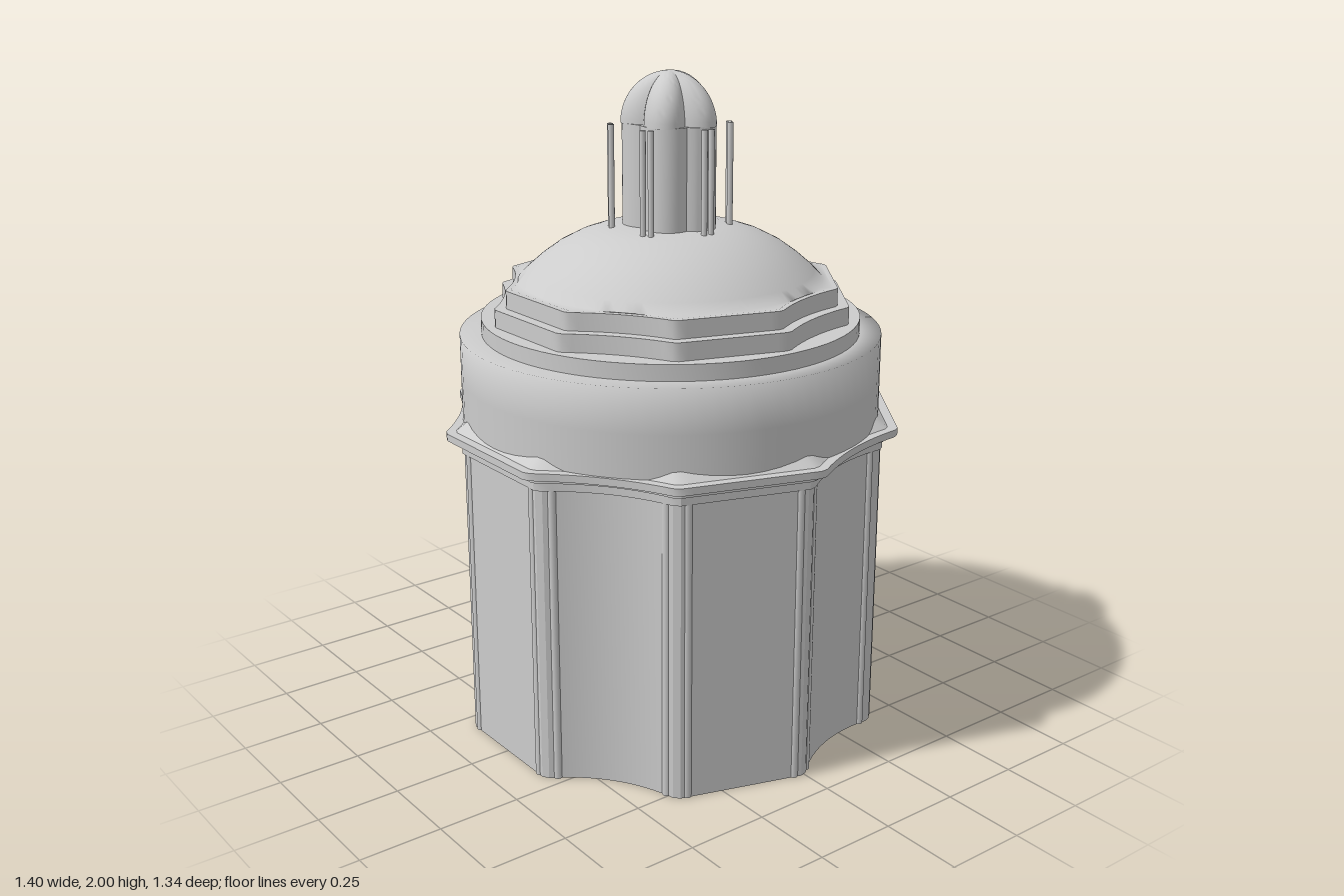
import * as THREE from 'three';
import { toCreasedNormals } from 'three/addons/utils/BufferGeometryUtils.js';

const TAU = Math.PI * 2;

// Point at fraction t along side k of a ten-sided outline; odd sides are scooped inward.
function sidePoint(radius, depth, k, t) {
  const a = (k / 10) * TAU, b = ((k + 1) / 10) * TAU, mid = (a + b) / 2;
  const scoop = k % 2 ? depth * 4 * t * (1 - t) : 0;
  return new THREE.Vector2(
    radius * ((1 - t) * Math.cos(a) + t * Math.cos(b)) - scoop * Math.cos(mid),
    radius * ((1 - t) * Math.sin(a) + t * Math.sin(b)) - scoop * Math.sin(mid));
}

// Full outline with softened corners.
function outline(radius, depth) {
  const points = [];
  for (let k = 0; k < 10; k++) {
    for (let i = 0; i <= 12; i++) points.push(sidePoint(radius * 1.006, depth, k, 0.03 + 0.94 * (i / 12)));
  }
  return points;
}

// Upright prism of the fluted outline, optionally hollow or tapering to the top.
function flutedPrism(radius, depth, y0, y1, { inner = 0, taper = 1 } = {}) {
  const shape = new THREE.Shape(outline(radius, depth));
  if (inner) shape.holes.push(new THREE.Path(outline(inner, depth)));
  const geo = new THREE.ExtrudeGeometry(shape, { depth: y1 - y0, bevelEnabled: false });
  geo.rotateX(Math.PI / 2).translate(0, y1, 0);
  const p = geo.attributes.position;
  for (let i = 0; i < p.count; i++) {
    const s = p.getY(i) > (y0 + y1) / 2 ? taper : 1;
    p.setXYZ(i, p.getX(i) * s, p.getY(i), p.getZ(i) * s);
  }
  return toCreasedNormals(geo, 0.45);
}

// Round body from [radius, height] pairs, smooth all over.
function turned(profile, segments = 80) {
  return new THREE.LatheGeometry(profile.map(([x, y]) => new THREE.Vector2(x, y)), segments);
}

// Push a unit-radius geometry into five rounded lobes, wider across than deep.
function fiveLobes(geo, valley, peak) {
  const p = geo.attributes.position;
  for (let i = 0; i < p.count; i++) {
    const a = Math.atan2(p.getZ(i), p.getX(i));
    const f = valley + (peak - valley) * Math.abs(Math.cos(2.5 * (a + Math.PI / 2)));
    p.setX(i, p.getX(i) * f * 1.045);
    p.setZ(i, p.getZ(i) * f * 0.9);
  }
  return toCreasedNormals(geo, 0.6);
}

// Round dome whose outer edge settles into the fluted outline.
function domeGeometry() {
  const geo = turned([[0.495, 1.387], [0.456, 1.389], [0.43, 1.415], [0.39, 1.45], [0.34, 1.486],
    [0.28, 1.517], [0.22, 1.538], [0.16, 1.549], [0, 1.552]], 120);
  const p = geo.attributes.position;
  for (let i = 0; i < p.count; i++) {
    const x = p.getX(i), z = p.getZ(i), r = Math.hypot(x, z);
    if (r < 0.47) continue;
    const u = ((Math.atan2(z, x) + TAU) % TAU) / TAU * 10;
    const k = Math.floor(u), t = u - k;
    const chord = Math.cos(TAU / 20) / Math.cos((t - 0.5) * TAU / 10);
    const s = chord - (k % 2 ? 0.16 * t * (1 - t) : 0);
    p.setX(i, x * s);
    p.setZ(i, z * s);
  }
  return toCreasedNormals(geo, 1);
}

export function createModel() {
  const model = new THREE.Group();
  const stone = new THREE.MeshStandardMaterial({ color: 0xcccccc });
  stone.name = 'paleGrey';

  const add = (name, geo, x = 0, y = 0, z = 0, parent = model) => {
    const mesh = new THREE.Mesh(geo, stone);
    mesh.name = name;
    mesh.position.set(x, y, z);
    parent.add(mesh);
  };
  const group = (name) => {
    const g = new THREE.Group();
    g.name = name;
    model.add(g);
    return g;
  };

  // Hollow fluted wall, open at the bottom
  add('wall', flutedPrism(0.65, 0.045, 0, 0.91, { inner: 0.615 }));

  // Slim shafts flanking every corner of the wall
  const shafts = group('cornerShafts');
  const shaftGeo = new THREE.CylinderGeometry(0.014, 0.014, 0.91, 12);
  for (let k = 0; k < 10; k++) {
    for (const t of [0.08, 0.92]) {
      const c = sidePoint(0.645, 0.045, k, t);
      add('shaft', shaftGeo, c.x, 0.455, c.y, shafts);
    }
  }

  // Stepped cornice, with a sloping skirt that shows at the drum's foot
  add('corniceLower', flutedPrism(0.656, 0.035, 0.905, 0.93));
  add('corniceMiddle', flutedPrism(0.664, 0.035, 0.93, 0.95));
  add('cornicePlate', flutedPrism(0.7, 0.027, 0.95, 0.972));
  add('corniceSkirt', flutedPrism(0.67, 0.027, 0.972, 1.005, { taper: 0.93 }));

  // Round drum and the round step on it
  add('drum', turned([[0.635, 0.97], [0.635, 1.1], [0.635, 1.232], [0.56, 1.232]]));
  add('roundStep', toCreasedNormals(turned([[0.57, 1.225], [0.57, 1.28], [0, 1.28]]), 0.6));

  // Two receding fluted steps
  add('lowerStep', flutedPrism(0.543, 0.02, 1.275, 1.333));
  add('upperStep', flutedPrism(0.508, 0.02, 1.333, 1.386));

  // Shallow dome
  add('dome', domeGeometry());

  // Lobed lantern and its ribbed cap
  add('lantern', fiveLobes(new THREE.CylinderGeometry(1, 1, 0.31, 80, 1), 0.122, 0.15), 0, 1.695, 0);
  add('lanternCap', fiveLobes(
    new THREE.SphereGeometry(1, 80, 16, 0, TAU, 0, Math.PI / 2).scale(1, 0.152, 1), 0.108, 0.154), 0, 1.848, 0);

  // Six pairs of thin posts around the lantern
  const posts = group('lanternPosts');
  const postGeo = new THREE.CylinderGeometry(0.009, 0.009, 0.32, 12);
  for (let k = 0; k < 6; k++) {
    const a = (k / 6) * TAU;
    for (const s of [-0.0125, 0.0125]) {
      add('post', postGeo,
        0.176 * Math.cos(a) - s * Math.sin(a), 1.688,
        0.176 * Math.sin(a) + s * Math.cos(a), posts);
    }
  }

  return model;
}
